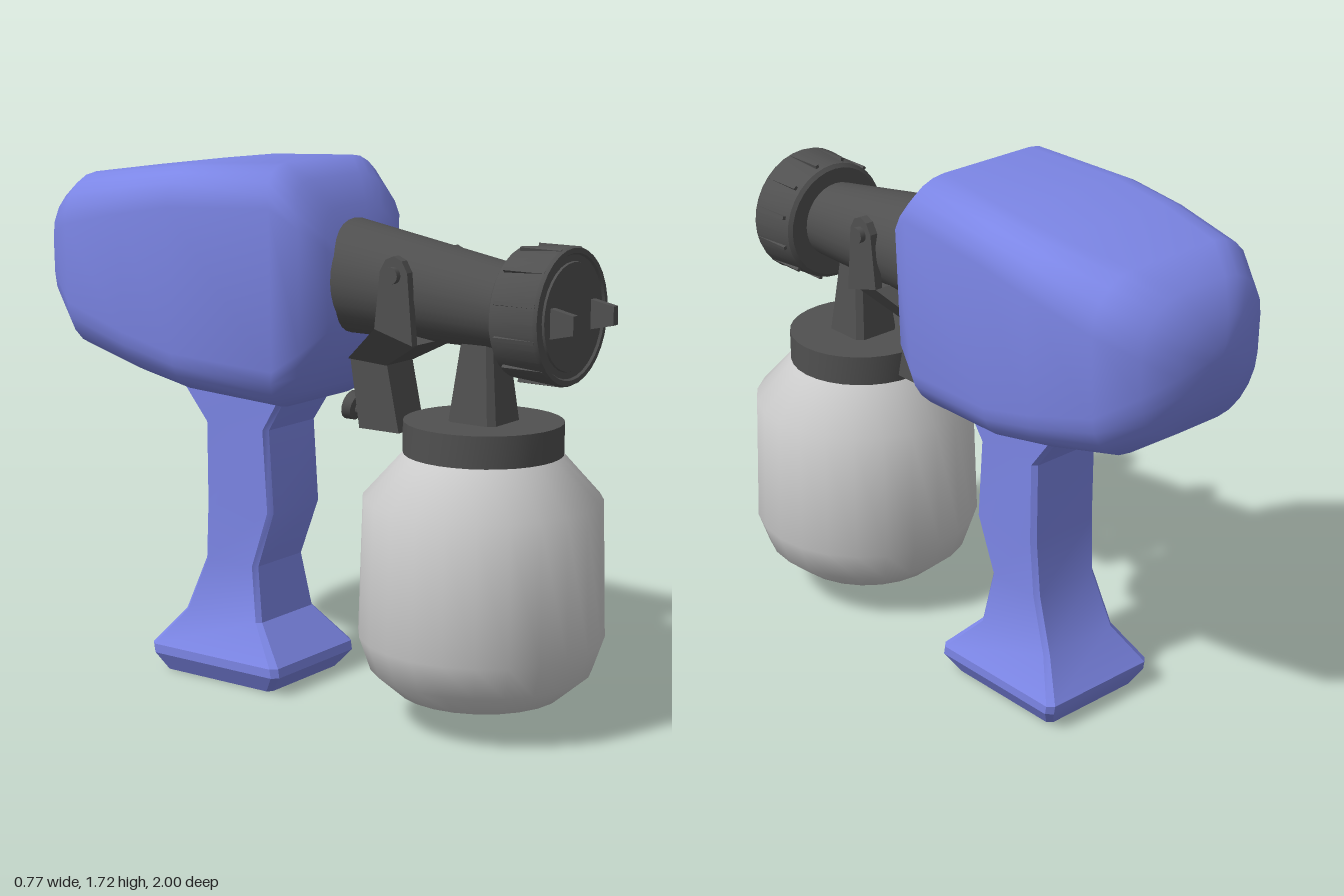
import * as THREE from 'three';
import { toCreasedNormals } from 'three/addons/utils/BufferGeometryUtils.js';

const blue = new THREE.MeshStandardMaterial({ color: 0x7c86e6 });
const dark = new THREE.MeshStandardMaterial({ color: 0x505050 });
const grey = new THREE.MeshStandardMaterial({ color: 0xcccccc });

// Rounded-rectangle sections [z, yMin, yMax, halfWidth, radius, bulge] joined from front (+z) to back.
function loft(sections, steps, crease, flare = 0) {
  const pos = [], idx = [], n = 4 * (steps + 1);
  for (const [z, y0, y1, hw, radius, bulge = 0] of sections) {
    const cy = (y0 + y1) / 2, hh = (y1 - y0) / 2, r = Math.min(radius, hw, hh);
    for (let c = 0; c < 4; c++) {
      const sx = c === 0 || c === 3 ? 1 : -1, sy = c < 2 ? 1 : -1;
      for (let k = 0; k <= steps; k++) {
        const a = (c + k / steps) * Math.PI / 2;
        const x = sx * (hw - r) + r * Math.cos(a);
        const y = cy + sy * (hh - r) + r * Math.sin(a);
        pos.push(x * (1 + flare * (y - cy)), y, z - bulge * (y - 1.34) ** 2);
      }
    }
  }
  for (let i = 0; i < sections.length - 1; i++) {
    for (let j = 0; j < n; j++) {
      const a = i * n + j, b = i * n + (j + 1) % n;
      idx.push(a, a + n, b, b, a + n, b + n);
    }
  }
  // End caps
  const centre = ([z, y0, y1]) => pos.push(0, (y0 + y1) / 2, z) / 3 - 1;
  const last = (sections.length - 1) * n;
  const f = centre(sections[0]), e = centre(sections[sections.length - 1]);
  for (let j = 0; j < n; j++) {
    const k = (j + 1) % n;
    idx.push(f, j, k, e, last + k, last + j);
  }
  const g = new THREE.BufferGeometry();
  g.setAttribute('position', new THREE.Float32BufferAttribute(pos, 3));
  g.setIndex(idx);
  return toCreasedNormals(g, crease);
}

// Side outline of [z, y] points, extruded across x from x0 to x1.
function sidePlate(points, x0, x1) {
  const shape = new THREE.Shape(points.map(([z, y]) => new THREE.Vector2(-z, y)));
  return new THREE.ExtrudeGeometry(shape, { depth: x1 - x0, bevelEnabled: false })
    .translate(0, 0, x0).rotateY(Math.PI / 2);
}

function lathe(points, sides, crease) {
  return toCreasedNormals(new THREE.LatheGeometry(points.map(p => new THREE.Vector2(...p)), sides), crease);
}

export function createModel() {
  const model = new THREE.Group();
  const add = (name, geometry, material, parent = model) => {
    const mesh = new THREE.Mesh(geometry, material);
    mesh.name = name;
    parent.add(mesh);
    return mesh;
  };

  // Motor housing
  add('motorHousing', loft([
    [0.175, 1.12, 1.58, 0.19, 0.12, 0.9],
    [0.14, 1.0, 1.665, 0.265, 0.14, 0.8],
    [0.05, 0.948, 1.717, 0.298, 0.13, 0.4],
    [-0.35, 0.975, 1.7, 0.335, 0.13],
    [-0.55, 1.015, 1.677, 0.34, 0.14],
    [-0.8, 1.067, 1.645, 0.318, 0.16],
    [-0.92, 1.15, 1.59, 0.245, 0.16],
    [-0.975, 1.26, 1.505, 0.145, 0.1],
    [-1.0, 1.36, 1.43, 0.05, 0.035],
  ], 5, 1.1, 0.1), blue);

  // Handle, lofted downwards: [height, -zFront, -zBack, halfWidth, radius]
  add('handle', loft([
    [1.05, 0.0, 0.56, 0.14, 0.015],
    [0.96, 0.05, 0.46, 0.14, 0.015],
    [0.85, 0.12, 0.375, 0.135, 0.015],
    [0.58, 0.102, 0.373, 0.135, 0.015],
    [0.39, 0.17, 0.385, 0.13, 0.015],
    [0.21, 0.14, 0.455, 0.15, 0.015],
    [0.09, 0.025, 0.55, 0.22, 0.02],
    [0.06, 0.02, 0.545, 0.22, 0.02],
    [0, 0.07, 0.51, 0.185, 0.015],
  ], 1, 0.5).rotateX(-Math.PI / 2), blue);

  // Tapered barrel, flat along the bottom
  add('barrel', loft([
    [0.8, 1.18, 1.425, 0.122, 0.2],
    [0.05, 1.18, 1.555, 0.187, 0.2],
  ], 8, 0.6), dark);

  // Nozzle cap with grip ribs and two prongs
  const cap = new THREE.Group();
  cap.name = 'nozzleCap';
  cap.position.set(0, 1.3, 0);
  model.add(cap);
  add('capShell', lathe([
    [0, 0.745], [0.185, 0.745], [0.198, 0.755], [0.21, 0.91], [0.205, 0.922],
    [0.19, 0.922], [0.185, 0.915], [0.165, 0.915], [0.163, 0.922], [0, 0.922],
  ], 32, 0.5).rotateX(Math.PI / 2), dark, cap);
  for (let i = 0; i < 12; i++) {
    const rib = new THREE.BoxGeometry(0.012, 0.02, 0.14).translate(0, 0.2, 0.842)
      .rotateZ((i + 0.5) * Math.PI / 6);
    add('gripRib', rib, dark, cap);
  }
  const prong = [[0.9, 1.245], [1, 1.268], [1, 1.325], [0.9, 1.345]];
  for (const s of [-1, 1]) {
    add('prong', sidePlate(prong, s * 0.117 - 0.013, s * 0.117 + 0.013).translate(0, -1.3, 0), dark, cap);
  }

  // Paint container, lid and neck
  const container = new THREE.Group();
  container.name = 'paintContainer';
  container.position.z = 0.617;
  model.add(container);
  add('bottle', lathe([
    [0, 0.07], [0.14, 0.07], [0.26, 0.1], [0.347, 0.175], [0.383, 0.28], [0.37, 0.715], [0.235, 0.865],
  ], 24, 0.75), grey, container);
  add('lid', toCreasedNormals(new THREE.CylinderGeometry(0.247, 0.247, 0.1, 32).translate(0, 0.904, 0), 0.5),
    dark, container);
  add('neck', loft([
    [1.24, -0.052, 0.052, 0.055, 0.015],
    [0.94, -0.087, 0.087, 0.087, 0.02],
  ], 1, 0.4).rotateX(-Math.PI / 2), dark, container);

  // Hinged bracket under the barrel
  const bracket = new THREE.Group();
  bracket.name = 'bracket';
  model.add(bracket);
  const arm = [[0.47, 1.19], [0.45, 1.41], [0.43, 1.445], [0.4, 1.458], [0.37, 1.445], [0.35, 1.41], [0.33, 1.23]];
  for (const s of [-1, 1]) {
    add('bracketArm', sidePlate(arm, s * 0.162 - 0.014, s * 0.162 + 0.014), dark, bracket);
    const pivot = new THREE.CylinderGeometry(0.026, 0.026, 0.06, 16).rotateZ(Math.PI / 2);
    add('pivotPin', pivot, dark, bracket).position.set(s * 0.165, 1.4, 0.4);
  }
  // Crosspiece narrows towards the tab
  const cross = sidePlate([[0.47, 1.19], [0.33, 1.23], [0.165, 1.11], [0.305, 1.1]], -1, 1);
  const p = cross.attributes.position;
  for (let i = 0; i < p.count; i++) {
    p.setX(i, p.getX(i) * THREE.MathUtils.mapLinear(p.getY(i), 1.1, 1.23, 0.075, 0.176));
  }
  cross.computeVertexNormals();
  add('crosspiece', cross, dark, bracket);
  add('bracketTab', sidePlate([[0.305, 1.1], [0.35, 0.89], [0.2, 0.89], [0.165, 1.11]], -0.07, 0.07), dark, bracket);

  // Thumb screw on the tab
  add('thumbScrew', lathe([
    [0, 0], [0.048, 0], [0.042, 0.03], [0.022, 0.035], [0.022, 0.1], [0, 0.1],
  ], 16, 0.5).rotateX(Math.PI / 2 + 0.2).translate(0, 0.945, 0.115), dark, bracket);

  return model;
}
